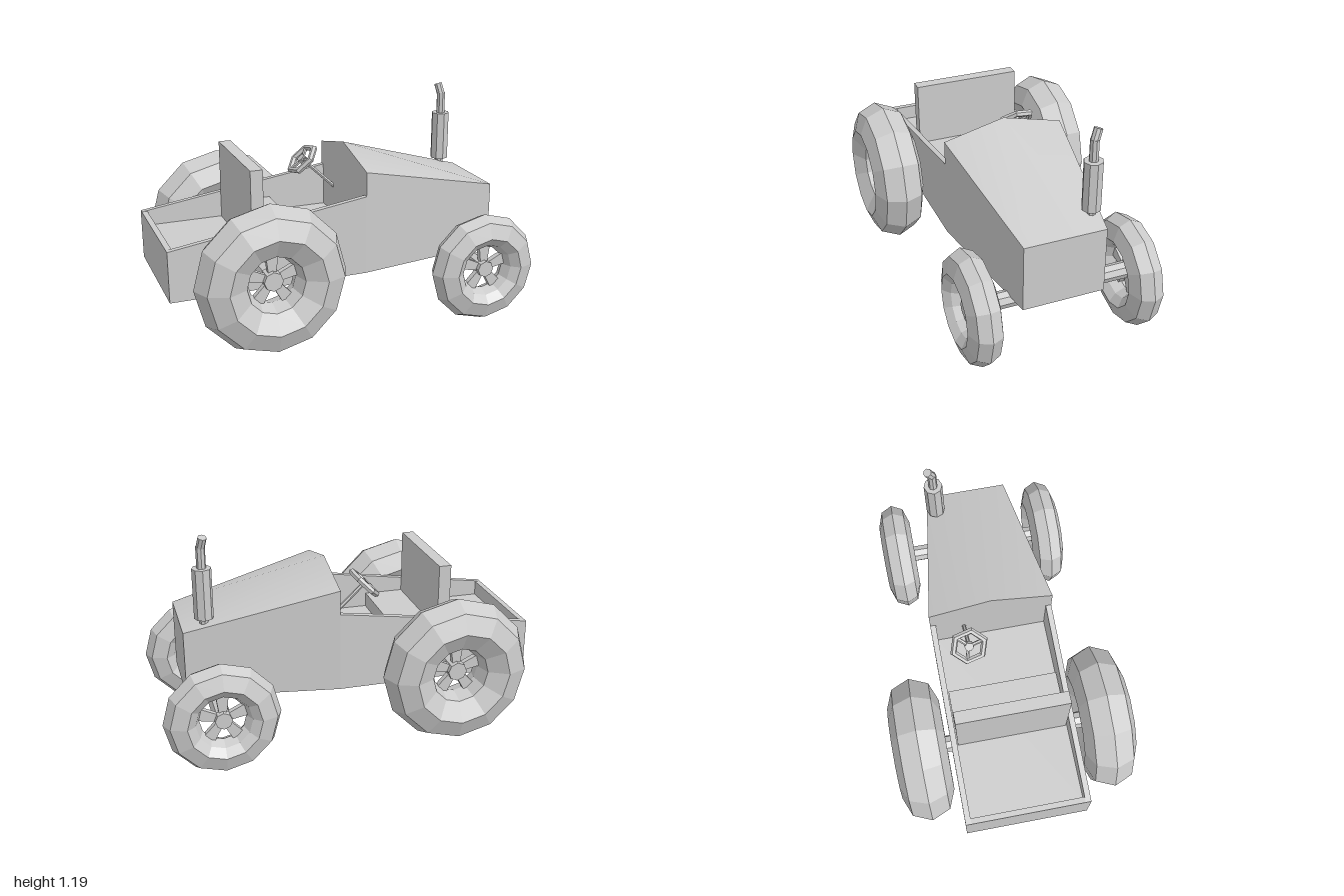
import * as THREE from 'three';
import { toCreasedNormals } from 'three/addons/utils/BufferGeometryUtils.js';
import { ConvexGeometry } from 'three/addons/geometries/ConvexGeometry.js';

const flat = new THREE.MeshStandardMaterial({ color: 0xcccccc, flatShading: true });
const smooth = new THREE.MeshStandardMaterial({ color: 0xcccccc });
const V = (x, y, z) => new THREE.Vector3(x, y, z);

function add(parent, name, geometry, material = flat) {
  const mesh = new THREE.Mesh(geometry, material);
  mesh.name = name;
  parent.add(mesh);
  return mesh;
}

// Box given by its lower and upper corners
function box(parent, name, [x0, y0, z0], [x1, y1, z1]) {
  const mesh = add(parent, name, new THREE.BoxGeometry(x1 - x0, y1 - y0, z1 - z0));
  mesh.position.set((x0 + x1) / 2, (y0 + y1) / 2, (z0 + z1) / 2);
  return mesh;
}

// Straight rod between two points
function rod(parent, name, a, b, radius, sides = 8) {
  const mesh = add(parent, name, new THREE.CylinderGeometry(radius, radius, a.distanceTo(b), sides));
  mesh.position.copy(a).lerp(b, 0.5);
  mesh.quaternion.setFromUnitVectors(V(0, 1, 0), b.clone().sub(a).normalize());
  return mesh;
}

// Side profile (x, y) extruded from z0 to z1
function slab(parent, name, points, z0, z1) {
  const shape = new THREE.Shape(points.map(([x, y]) => new THREE.Vector2(x, y)));
  const geo = new THREE.ExtrudeGeometry(shape, { depth: z1 - z0, bevelEnabled: false });
  add(parent, name, geo).position.z = z0;
}

// Wheel turned around z; half is the outer half of the tyre section as [radius, z]
function wheel(name, half, hubRadius) {
  const group = new THREE.Group();
  group.name = name;
  const back = half.slice(1, -1).reverse().map(([r, z]) => [r, -z]);
  const ring = [...half, ...back, half[0]].map(([r, z]) => new THREE.Vector2(r, -z));
  const geo = new THREE.LatheGeometry(ring.reverse(), 12);
  geo.rotateX(Math.PI / 2);
  const tyre = add(group, 'tyre', geo, new THREE.MeshStandardMaterial({
    color: 0xcccccc, flatShading: true, side: THREE.DoubleSide }));
  tyre.position.z = 0;
  const rim = half[half.length - 1][0];
  rod(group, 'hub', V(0, 0, -0.04), V(0, 0, 0.04), hubRadius);
  // Five tapered spokes
  for (let i = 0; i < 5; i++) {
    const shape = new THREE.Shape([[-0.018, 0.02], [0.018, 0.02], [0.032, rim + 0.005], [-0.032, rim + 0.005]]
      .map(([x, y]) => new THREE.Vector2(x, y)));
    const spoke = add(group, 'spoke', new THREE.ExtrudeGeometry(shape, { depth: 0.03, bevelEnabled: false }));
    spoke.position.z = -0.015;
    spoke.rotation.z = (i * 2 * Math.PI) / 5;
  }
  return group;
}

export function createModel() {
  const model = new THREE.Group();
  model.name = 'tractor';

  // Open tub with sloping side walls
  const tub = new THREE.Group();
  tub.name = 'tub';
  model.add(tub);
  const wall = [[-1, 0.33], [0.05, 0.33], [0.05, 0.755], [-1, 0.6]];
  slab(tub, 'sideWall', wall, 0.3, 0.33);
  slab(tub, 'sideWall', wall, -0.33, -0.3);
  box(tub, 'rearWall', [-1, 0.33, -0.3], [-0.97, 0.6, 0.3]);
  box(tub, 'floor', [-0.97, 0.33, -0.3], [0.05, 0.52, 0.3]);

  // Seat
  box(model, 'seatCushion', [-0.5, 0.52, -0.295], [-0.28, 0.6, 0.295]);
  box(model, 'seatBack', [-0.56, 0.52, -0.295], [-0.495, 0.952, 0.295]);

  // Hood tapering to a flat nose
  const corners = [V(0.05, 0.965, 0)];
  for (const s of [-1, 1]) {
    corners.push(V(0.05, 0.33, 0.33 * s), V(0.05, 0.885, 0.33 * s),
      V(0.845, 0.335, 0.22 * s), V(0.845, 0.697, 0.22 * s));
  }
  add(model, 'hood', toCreasedNormals(new ConvexGeometry(corners), 0.6), smooth);

  // Exhaust stack with a bent tip
  const exhaust = new THREE.Group();
  exhaust.name = 'exhaust';
  exhaust.position.set(0.73, 0, -0.185);
  model.add(exhaust);
  rod(exhaust, 'lowerPipe', V(0, 0.68, 0), V(0, 0.76, 0), 0.024);
  rod(exhaust, 'muffler', V(0, 0.757, 0), V(0, 1.025, 0), 0.05);
  rod(exhaust, 'upperPipe', V(0, 1.02, 0), V(0, 1.14, 0), 0.024);
  rod(exhaust, 'pipeTip', V(0, 1.13, 0), V(-0.01, 1.19, -0.022), 0.023);

  // Steering wheel facing the seat, and its column
  const steering = new THREE.Group();
  steering.name = 'steeringWheel';
  const centre = V(-0.13, 0.845, -0.15);
  const axis = V(0.7, -0.7, 0).normalize();
  steering.position.copy(centre);
  steering.quaternion.setFromUnitVectors(V(0, 0, 1), axis);
  model.add(steering);
  add(steering, 'rim', new THREE.TorusGeometry(0.088, 0.018, 6, 6));
  rod(steering, 'hub', V(0, 0, -0.015), V(0, 0, 0.015), 0.025, 6);
  for (let i = 0; i < 3; i++) {
    const a = (i * 2 * Math.PI) / 3;
    rod(steering, 'spoke', V(0, 0, 0), V(0.08 * Math.cos(a), 0.08 * Math.sin(a), 0), 0.01, 6);
  }
  rod(model, 'steeringColumn', centre, V(0.06, 0.665, -0.15), 0.011, 6);

  // Axles and wheels
  const axles = [
    { name: 'rear', x: -0.525, y: 0.452, z: 0.495, hub: 0.05,
      half: [[0.393, 0], [0.35, 0.1], [0.25, 0.14], [0.15, 0.085], [0.125, 0]] },
    { name: 'front', x: 0.695, y: 0.306, z: 0.432, hub: 0.045,
      half: [[0.302, 0], [0.272, 0.062], [0.19, 0.09], [0.145, 0.055], [0.12, 0]] },
  ];
  for (const { name, x, y, z, hub, half } of axles) {
    rod(model, name + 'Axle', V(x, y, -z), V(x, y, z), 0.046);
    for (const side of [-1, 1]) {
      const w = wheel(name + 'Wheel', half, hub);
      w.position.set(x, y, side * z);
      model.add(w);
    }
  }
  return model;
}
